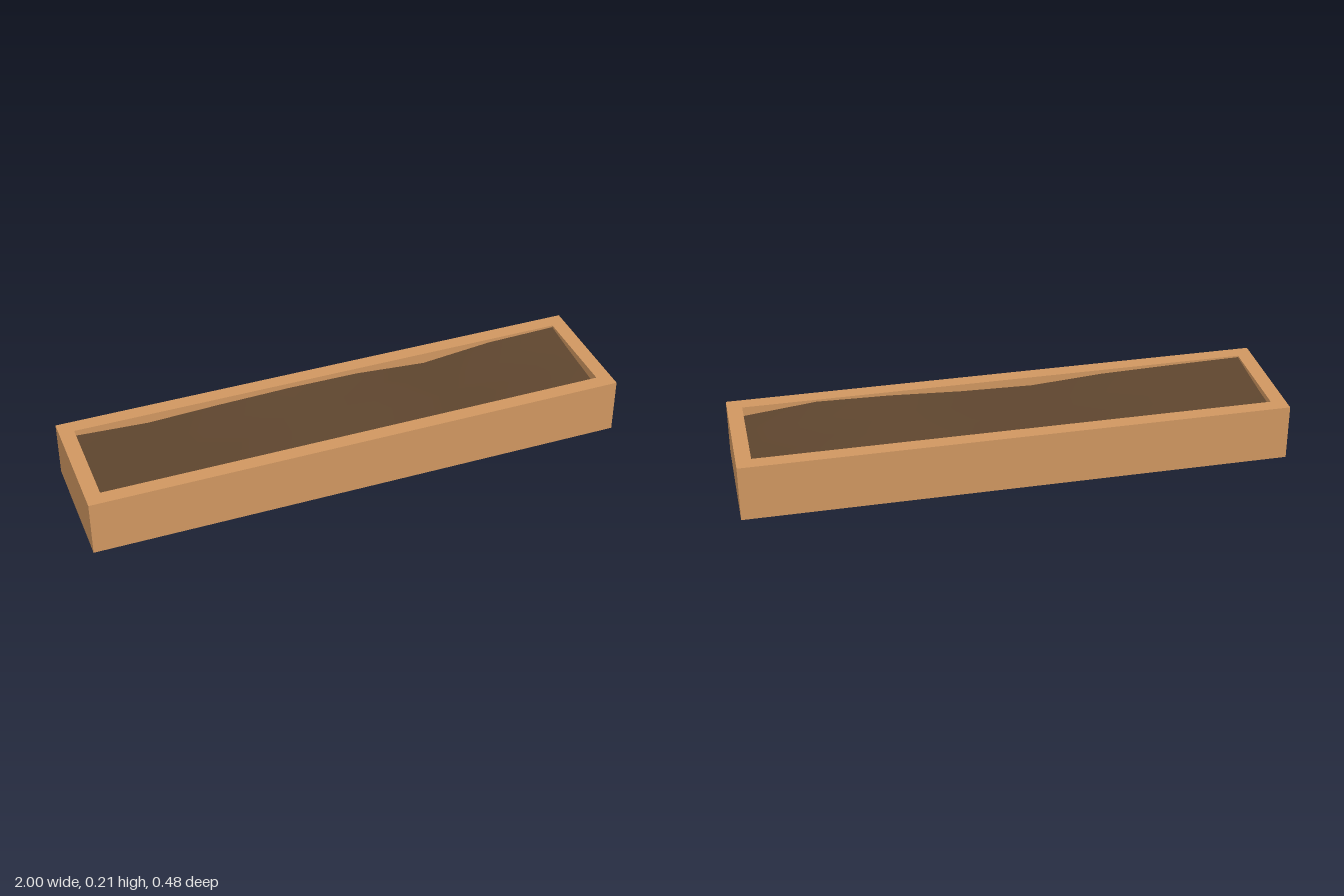
import * as THREE from 'three';

const HEIGHT = 0.21;
const OUTER = { x: 1, z: 0.239 };
const INNER = { x: 0.945, z: 0.184 };

// Four corners of a horizontal rectangle, in order around the box
function ring({ x, z }, y) {
  return [[x, y, z], [x, y, -z], [-x, y, -z], [-x, y, z]];
}

// Joins two rectangles with four flat quads
function band(lower, upper) {
  const points = [];
  for (let i = 0; i < 4; i++) {
    const j = (i + 1) % 4;
    points.push(lower[i], lower[j], upper[j], lower[i], upper[j], upper[i]);
  }
  const geometry = new THREE.BufferGeometry();
  geometry.setAttribute('position', new THREE.Float32BufferAttribute(points.flat(), 3));
  geometry.computeVertexNormals();
  return geometry;
}

// Undulating soil: depth below the rim, rows from back to front, columns along x
function soilGeometry() {
  const depths = [
    [0.022, 0.036, 0.026, 0.02, 0.022, 0.042, 0.014, 0.008],
    [0.02, 0.026, 0.028, 0.026, 0.02, 0.028, 0.02, 0.02],
    [0.014, 0.018, 0.024, 0.03, 0.024, 0.018, 0.016, 0.028],
    [0.006, 0.01, 0.016, 0.034, 0.028, 0.014, 0.008, 0.036],
  ];
  const geometry = new THREE.PlaneGeometry(INNER.x * 2, INNER.z * 2, 7, 3);
  geometry.rotateX(-Math.PI / 2);
  const position = geometry.attributes.position;
  depths.flat().forEach((depth, i) => position.setY(i, HEIGHT - depth));
  geometry.computeVertexNormals();
  return geometry;
}

export function createModel() {
  const model = new THREE.Group();
  model.name = 'planterBox';
  const wood = new THREE.MeshStandardMaterial({ color: 0xcf9660, side: THREE.DoubleSide });
  const earth = new THREE.MeshStandardMaterial({ color: 0x5e452e, side: THREE.DoubleSide });

  const add = (name, geometry, material) => {
    const mesh = new THREE.Mesh(geometry, material);
    mesh.name = name;
    model.add(mesh);
  };

  // Wooden shell, open underneath
  const outerTop = ring(OUTER, HEIGHT);
  const innerTop = ring(INNER, HEIGHT);
  add('outerWalls', band(ring(OUTER, 0), outerTop), wood);
  add('rim', band(outerTop, innerTop), wood);
  add('innerWalls', band(innerTop, ring(INNER, HEIGHT - 0.045)), wood);

  // Soil filling the top
  add('soil', soilGeometry(), earth);
  return model;
}
